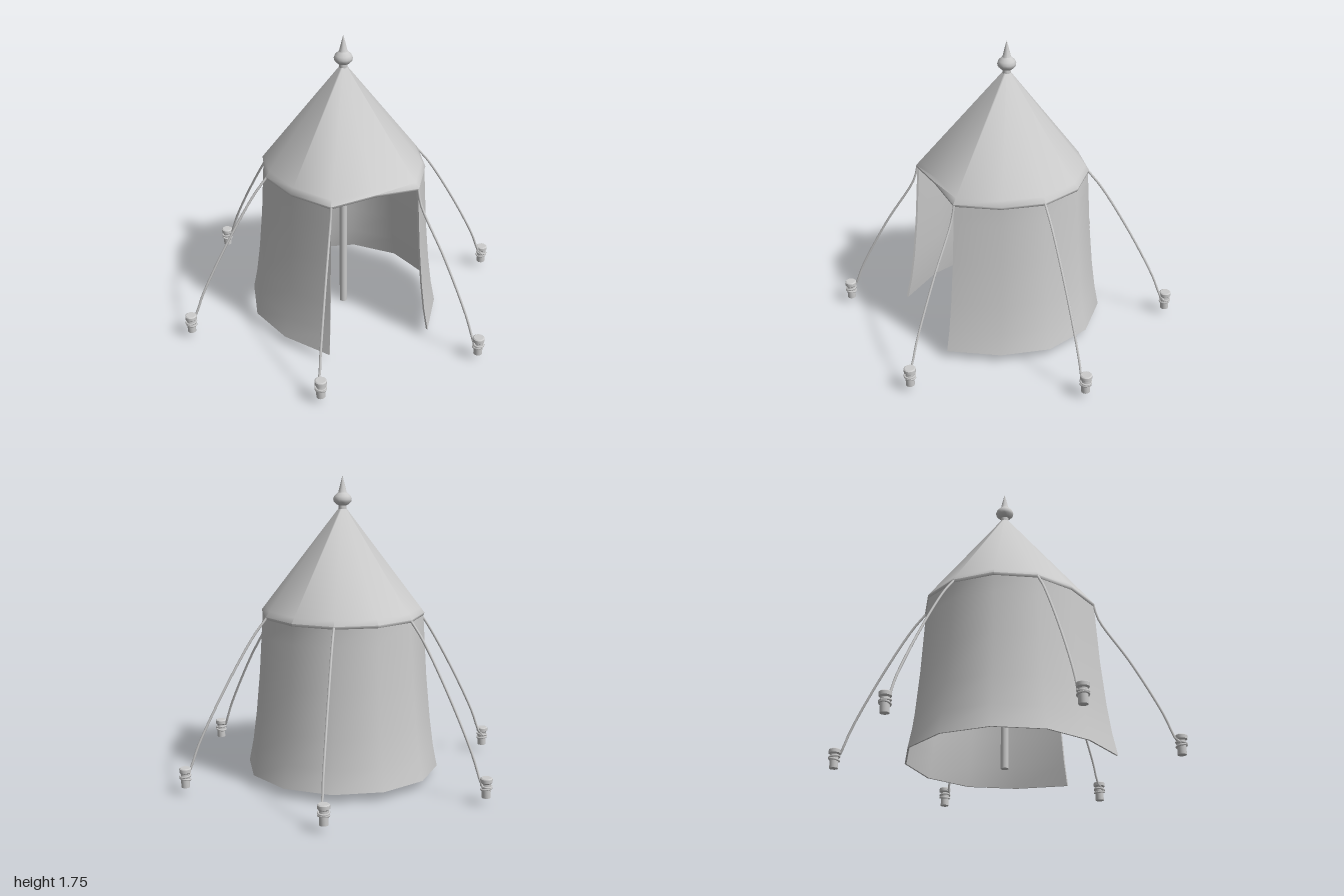
import * as THREE from 'three';
import { toCreasedNormals } from 'three/addons/utils/BufferGeometryUtils.js';

const STEP = Math.PI / 6;
const grey = new THREE.MeshStandardMaterial({ color: 0xcccccc });
const cloth = new THREE.MeshStandardMaterial({ color: 0xcccccc, side: THREE.DoubleSide });

function addMesh(parent, name, geometry, material = grey) {
  const mesh = new THREE.Mesh(geometry, material);
  mesh.name = name;
  parent.add(mesh);
  return mesh;
}

// Skin a row of closed cross-sections; either wrap around or cap both ends
function loft(columns, wrap, crease) {
  const pos = [];
  const quad = (a, b, c, d) => [a, b, c, a, c, d].forEach((p) => pos.push(p.x, p.y, p.z));
  const n = columns[0].length;
  const last = columns.length - (wrap ? 0 : 1);
  for (let i = 0; i < last; i++) {
    const p = columns[i], q = columns[(i + 1) % columns.length];
    for (let j = 0; j < n; j++) {
      const k = (j + 1) % n;
      quad(p[j], q[j], q[k], p[k]);
    }
  }
  if (!wrap) {
    const p = columns[0], q = columns[columns.length - 1];
    for (let j = 0; j < n / 2 - 1; j++) {
      quad(p[n - 1 - j], p[j], p[j + 1], p[n - 2 - j]);
      quad(q[j], q[n - 1 - j], q[n - 2 - j], q[j + 1]);
    }
  }
  const g = new THREE.BufferGeometry();
  g.setAttribute('position', new THREE.Float32BufferAttribute(pos, 3));
  return toCreasedNormals(g, crease);
}

// Twelve-sided plan, pulled out at the two door corners and flat between them
function planScale(k) {
  if (k === 0) return 0.96;
  return k === 1 || k === 11 ? 1.11 : 1;
}

function column(k, profile) {
  const s = planScale(k), a = k * STEP;
  return profile.map(([r, y]) => new THREE.Vector3(Math.sin(a) * r * s, y, Math.cos(a) * r * s));
}

// Add the inner face of a thin cloth profile
function thicken(profile, dr, dy) {
  return [...profile, ...profile.map(([r, y]) => [Math.max(r - dr, 0.005), y - dy]).reverse()];
}

// Post with a flared head and two turns of rope
function makeStake() {
  const stake = new THREE.Group();
  stake.name = 'stake';
  const profile = [[0, 0.04], [0.025, 0.04], [0.025, 0.12], [0.034, 0.128], [0.034, 0.148], [0.028, 0.153], [0, 0.153]];
  const body = new THREE.LatheGeometry(profile.map(([r, y]) => new THREE.Vector2(r, y)), 12);
  addMesh(stake, 'stakePost', toCreasedNormals(body, 0.6));
  [[0.09, 0.2], [0.106, -0.15]].forEach(([y, tilt]) => {
    const loop = addMesh(stake, 'ropeLoop', new THREE.TorusGeometry(0.029, 0.006, 6, 16));
    loop.position.y = y;
    loop.rotation.set(Math.PI / 2, tilt, 0);
  });
  return stake;
}

export function createModel() {
  const tent = new THREE.Group();
  tent.name = 'tent';

  // Flared walls, open at the front
  const wall = thicken([[0.56, 0.05], [0.535, 0.18], [0.513, 0.35], [0.49, 0.6], [0.475, 0.85], [0.468, 0.965]], 0.01, 0);
  const sides = [];
  for (let k = 1; k <= 11; k++) sides.push(column(k, wall));
  addMesh(tent, 'walls', loft(sides, false, 0.9), cloth);

  // Pointed roof with a narrow eave; the front edge bows up a little
  const roof = thicken([[0.47, 0.955], [0.474, 0.97], [0.452, 1.0], [0.018, 1.57]], 0.012, 0.004);
  const panels = [];
  for (let k = 0; k < 12; k++) {
    const c = column(k, roof);
    if (k === 0) c.forEach((p) => { if (p.y < 0.98) p.y += 0.016; });
    panels.push(c);
  }
  addMesh(tent, 'roof', loft(panels, true, 1.0), cloth);

  // Centre pole
  const pole = addMesh(tent, 'centrePole', new THREE.CylinderGeometry(0.022, 0.022, 1.56, 12));
  pole.position.y = 0.78;

  // Finial: collar, ball and spike
  const finial = [[0.024, 1.555], [0.024, 1.582], [0.034, 1.586], [0.05, 1.602], [0.053, 1.617], [0.047, 1.634],
    [0.03, 1.65], [0.024, 1.655], [0.012, 1.705], [0, 1.75]];
  addMesh(tent, 'finial', toCreasedNormals(
    new THREE.LatheGeometry(finial.map(([r, y]) => new THREE.Vector2(r, y)), 16), 0.7));

  // Six guy ropes and stakes, two of them tied at the door corners
  for (let i = 0; i < 6; i++) {
    const guy = new THREE.Group();
    guy.name = 'guyLine';
    const k = 1 + i * 2;
    const start = 0.468 * planScale(k);
    const path = new THREE.CatmullRomCurve3([
      [start, 0.965, 0], [0.545, 0.87, 0.002], [0.715, 0.59, 0.006], [0.88, 0.27, 0.011],
      [0.935, 0.13, 0.014], [0.962, 0.1, 0.028],
    ].map((p) => new THREE.Vector3(...p)), false, 'centripetal');
    addMesh(guy, 'rope', new THREE.TubeGeometry(path, 20, 0.007, 6));
    const stake = makeStake();
    stake.position.x = 0.965;
    guy.add(stake);
    guy.rotation.y = k * STEP - Math.PI / 2;
    tent.add(guy);
  }
  return tent;
}
